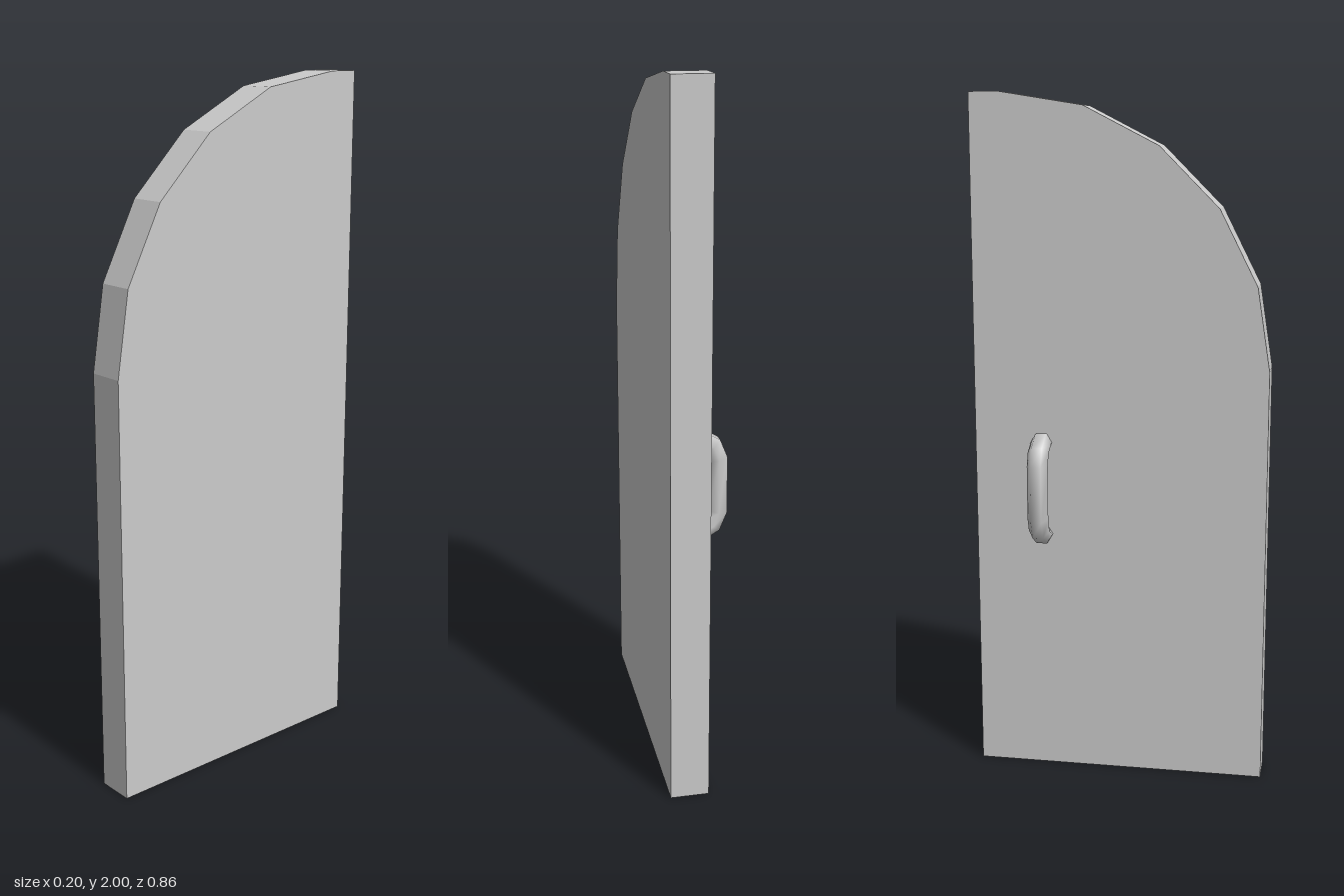
import * as THREE from 'three';

// Polyline curve that puts one tube ring on every corner, with mitred tangents
class CornerPath extends THREE.Curve {
  constructor(points) {
    super();
    this.points = points;
  }
  getPointAt(u, target = new THREE.Vector3()) {
    return target.copy(this.points[Math.round(u * (this.points.length - 1))]);
  }
  getTangentAt(u, target = new THREE.Vector3()) {
    const p = this.points, last = p.length - 1, i = Math.round(u * last);
    target.set(0, 0, 0);
    if (i > 0) target.add(p[i].clone().sub(p[i - 1]).normalize());
    if (i < last) target.add(p[i + 1].clone().sub(p[i]).normalize());
    return target.normalize();
  }
}

export function createModel() {
  const group = new THREE.Group();
  group.name = 'archedDoor';
  const material = new THREE.MeshStandardMaterial({ color: 0xcccccc, side: THREE.DoubleSide });

  // Door leaf: straight hinge edge at +z, quarter arch in five facets, flat top at the back
  const outline = [new THREE.Vector2(-0.427, 0), new THREE.Vector2(0.43, 0)];
  const radius = 0.77, steps = 5;
  for (let i = 0; i <= steps; i++) {
    const a = (i / steps) * Math.PI / 2;
    outline.push(new THREE.Vector2(-0.34 + radius * Math.cos(a), 1.23 + radius * Math.sin(a)));
  }
  outline.push(new THREE.Vector2(-0.427, 2));
  const leafGeometry = new THREE.ExtrudeGeometry(new THREE.Shape(outline), { depth: 0.11, bevelEnabled: false });
  leafGeometry.rotateY(-Math.PI / 2).translate(0.098, 0, 0);
  const leaf = new THREE.Mesh(leafGeometry, material);
  leaf.name = 'doorLeaf';
  group.add(leaf);

  // Pull handle: six-sided bent bar, its lower half mirrored from the upper half
  const midY = 0.867, handleZ = -0.229;
  const half = [[0, 0.138], [-0.022, 0.138], [-0.058, 0.117], [-0.073, 0.078]];
  const path = [
    ...half.map(([x, y]) => new THREE.Vector3(x, midY + y, handleZ)),
    ...half.slice().reverse().map(([x, y]) => new THREE.Vector3(x, midY - y, handleZ)),
  ];
  const handle = new THREE.Mesh(
    new THREE.TubeGeometry(new CornerPath(path), path.length - 1, 0.031, 6, false), material);
  handle.name = 'pullHandle';
  group.add(handle);

  return group;
}
